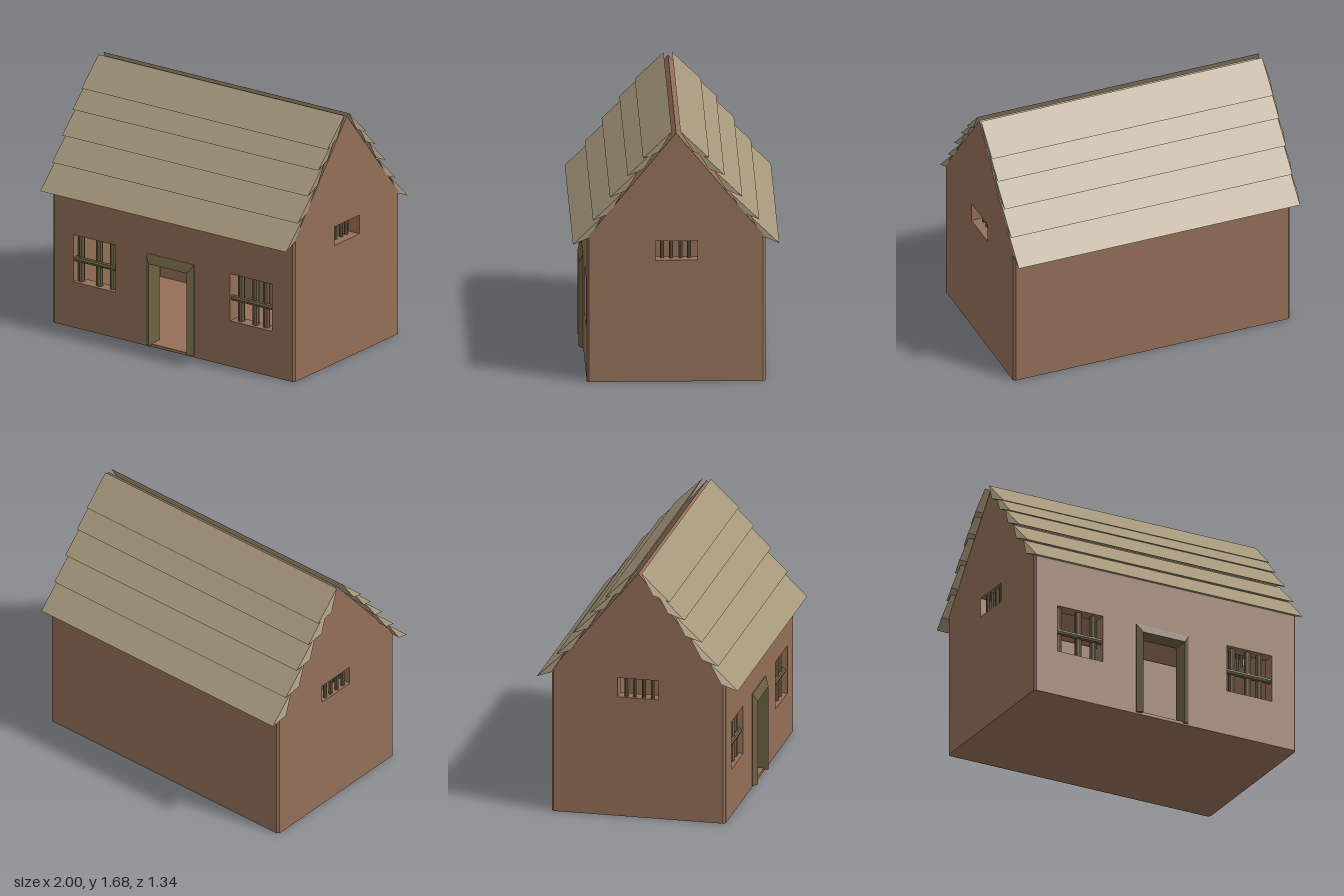
import * as THREE from 'three';

const mat = (color) => new THREE.MeshStandardMaterial({ color, flatShading: true });
const wallMat = mat(0x936f58);
const roofMat = mat(0xa5977a);
const woodMat = mat(0x6e6142);

// Wall extents and thickness
const X0 = -0.945, X1 = 1.0, Z = 0.58, T = 0.09, EAVE = 0.97, RIDGE = 1.67, CH = 0.015;

function add(parent, name, geometry, material) {
  const mesh = new THREE.Mesh(geometry, material);
  mesh.name = name;
  parent.add(mesh);
  return mesh;
}

function box(parent, name, material, x0, x1, y0, y1, z0, z1) {
  const g = new THREE.BoxGeometry(x1 - x0, y1 - y0, z1 - z0);
  g.translate((x0 + x1) / 2, (y0 + y1) / 2, (z0 + z1) / 2);
  return add(parent, name, g, material);
}

const polygon = (pts) => new THREE.Shape(pts.map(([x, y]) => new THREE.Vector2(x, y)));

const rectHole = (x0, x1, y0, y1) =>
  new THREE.Path([[x0, y0], [x0, y1], [x1, y1], [x1, y0]].map(([x, y]) => new THREE.Vector2(x, y)));

const extrude = (shape, depth) => new THREE.ExtrudeGeometry(shape, { depth, bevelEnabled: false });

// Skin over a row of matching convex cross-sections, closed at both ends
function loft(sections) {
  const pos = [];
  const n = sections[0].length;
  const tri = (a, b, c) => pos.push(...a, ...b, ...c);
  for (let s = 0; s + 1 < sections.length; s++) {
    const A = sections[s], B = sections[s + 1];
    for (let i = 0; i < n; i++) {
      const j = (i + 1) % n;
      tri(A[i], A[j], B[j]);
      tri(A[i], B[j], B[i]);
    }
  }
  const first = sections[0], last = sections[sections.length - 1];
  for (let i = 1; i + 1 < n; i++) {
    tri(first[0], first[i + 1], first[i]);
    tri(last[0], last[i], last[i + 1]);
  }
  const g = new THREE.BufferGeometry();
  g.setAttribute('position', new THREE.Float32BufferAttribute(pos, 3));
  g.computeVertexNormals();
  return g;
}

function buildWalls(house) {
  const walls = new THREE.Group();
  walls.name = 'walls';
  house.add(walls);

  // Front wall with two windows and a doorway
  const l = X0 + CH, r = X1 - CH;
  const front = polygon([[l, 0], [r, 0], [r, EAVE], [l, EAVE]]);
  front.holes.push(
    rectHole(-0.775, -0.435, 0.315, 0.64),
    rectHole(0.485, 0.82, 0.315, 0.64),
    rectHole(-0.17, 0.175, 0.02, 0.61)
  );
  add(walls, 'frontWall', extrude(front, T).translate(0, 0, Z - T), wallMat);
  box(walls, 'backWall', wallMat, l, r, 0, EAVE, -Z, -Z + T);
  box(walls, 'floor', wallMat, l, r, 0, 0.02, -Z + CH, Z - CH);

  // Gable walls with a vent opening
  const w = Z - CH;
  const gable = polygon([[-w, 0], [w, 0], [w, EAVE + 0.018], [0, RIDGE], [-w, EAVE + 0.018]]);
  gable.holes.push(rectHole(-0.135, 0.14, 0.815, 0.945));
  for (const [name, x] of [['leftGable', X1 - T], ['rightGable', X0]]) {
    add(walls, name, extrude(gable, T).rotateY(Math.PI / 2).translate(x, 0, 0), wallMat);
  }

  // Chamfered corners
  for (const x of [l, r]) for (const z of [-w, w]) {
    const post = add(walls, 'wallCorner', new THREE.CylinderGeometry(CH, CH, EAVE, 4), wallMat);
    post.position.set(x, EAVE / 2, z);
  }
}

function buildRoof(house) {
  const roof = new THREE.Group();
  roof.name = 'roof';
  house.add(roof);

  // Deck beneath the planks
  const deck = polygon([
    [-Z, EAVE], [-Z + 0.05, EAVE], [0, RIDGE - 0.06],
    [Z - 0.05, EAVE], [Z, EAVE], [0, RIDGE]
  ]);
  const span = X1 - X0 - 2 * T;
  add(roof, 'roofDeck', extrude(deck, span).rotateY(Math.PI / 2).translate(X0 + T, 0, 0), wallMat);

  // Overlapping wedge planks, given by the height and reach of their lower edges
  const tips = [[0.67, 0.925], [0.54, 1.085], [0.43, 1.24], [0.315, 1.385], [0.215, 1.5]];
  for (const side of [1, -1]) {
    for (const [z, y] of tips) {
      const section = (xEdge, xInner) => {
        const pts = [
          [xEdge, y + 0.18, side * (z - 0.187)],
          [xEdge, y, side * z],
          [xInner, y + 0.045, side * (z - 0.105)]
        ];
        return side > 0 ? pts : pts.reverse();
      };
      add(roof, 'roofPlank', loft([section(-0.975, -1), section(1, 1)]), roofMat);
    }
  }
}

function buildDoorFrame(house) {
  // Mitred frame whose face slopes forward to the doorway
  const station = (xo, yo, xi, yi) =>
    [[xo, yo, Z + 0.004], [xi, yi, 0.61], [xi, yi, Z - T], [xo, yo, Z - T]];
  add(house, 'doorFrame', loft([
    station(-0.19, 0.01, -0.15, 0.01),
    station(-0.19, 0.64, -0.15, 0.58),
    station(0.197, 0.64, 0.157, 0.58),
    station(0.197, 0.01, 0.157, 0.01)
  ]), woodMat);
}

function buildBars(house) {
  const bar = (name, radius, length) =>
    add(house, name, new THREE.CylinderGeometry(radius, radius, length, 8), woodMat);

  // Front window grilles
  const windows = [
    { x0: -0.775, x1: -0.435, bars: [-0.743, -0.596, -0.487] },
    { x0: 0.485, x1: 0.82, bars: [0.543, 0.66, 0.746] }
  ];
  for (const { x0, x1, bars } of windows) {
    for (const x of bars) bar('windowBar', 0.023, 0.335).position.set(x, 0.478, Z - 0.045);
    const rail = bar('windowRail', 0.02, x1 - x0);
    rail.rotation.z = Math.PI / 2;
    rail.position.set((x0 + x1) / 2, 0.468, Z - 0.03);
  }

  // Gable vent bars
  for (const x of [X1 - 0.07, X0 + 0.025]) {
    for (const z of [0.09, 0.032, -0.03, -0.085]) bar('ventBar', 0.013, 0.14).position.set(x, 0.88, z);
  }
}

export function createModel() {
  const house = new THREE.Group();
  house.name = 'house';
  buildWalls(house);
  buildRoof(house);
  buildDoorFrame(house);
  buildBars(house);
  return house;
}
